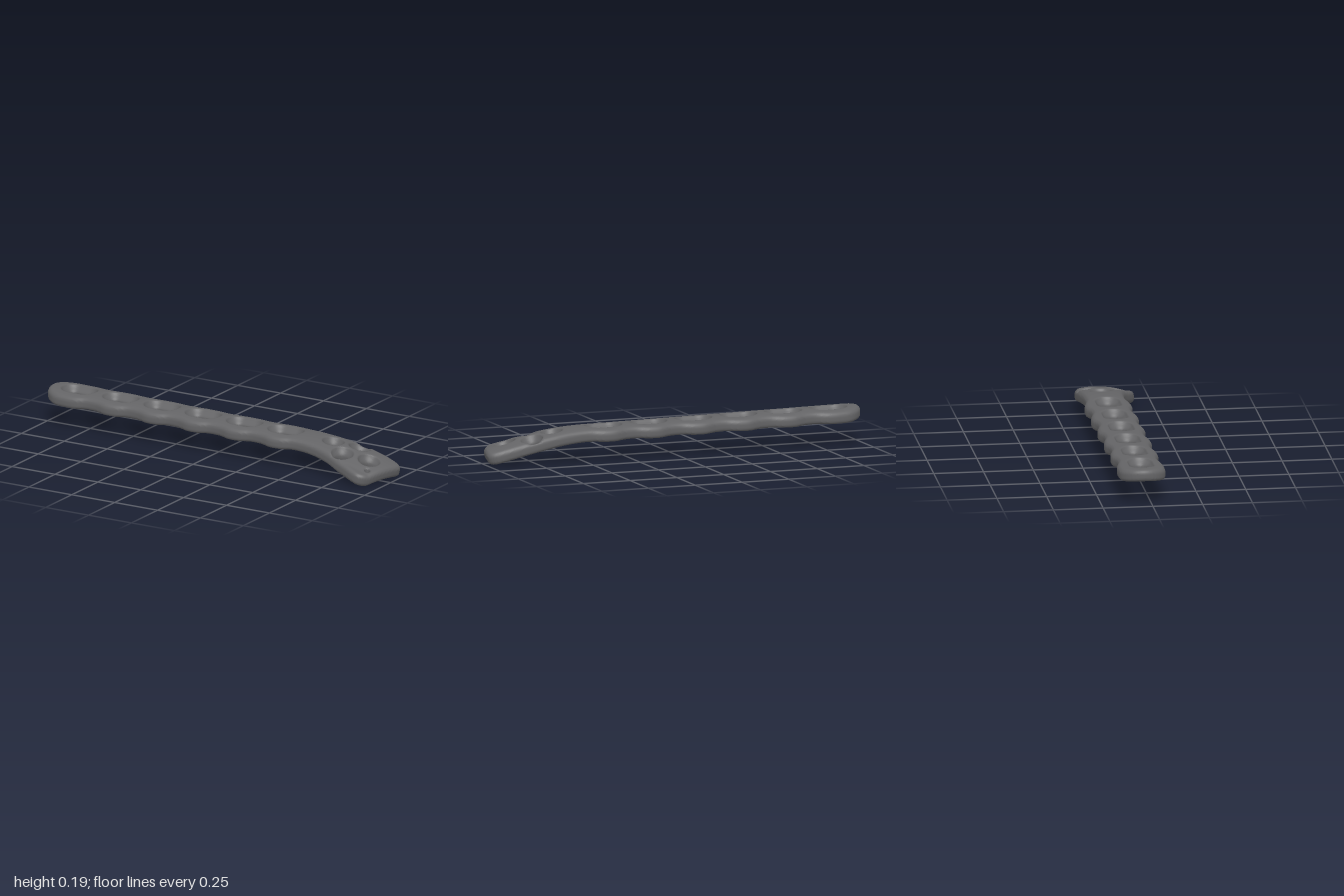
import * as THREE from 'three';

const MID_Z = -0.04, HALF = 0.031, ROUND = 0.022;

// Plan outline (x, z): wavy shaft, rounded tail, flared head
function makeOutline() {
  const front = [], back = [];
  for (let x = -0.86; x < 0.47; x += 0.06) {
    const w = 0.11 + 0.01 * Math.cos((2 * Math.PI * (x + 0.837)) / 0.24);
    front.push([x, MID_Z + w]);
    back.unshift([x, MID_Z - w]);
  }
  const head = [
    [0.58, 0.068], [0.68, 0.09], [0.78, 0.125], [0.86, 0.152], [0.895, 0.157], [0.925, 0.14],
    [0.95, 0.09], [0.975, 0.02], [0.995, -0.06], [0.995, -0.095], [0.97, -0.12], [0.9, -0.138],
    [0.8, -0.148], [0.7, -0.148], [0.56, -0.141],
  ];
  const tail = [[-0.93, -0.148], [-0.982, -0.105], [-1, -0.04], [-0.982, 0.025], [-0.93, 0.068]];
  const pts = [...front, ...head, ...back, ...tail].map(([x, z]) => new THREE.Vector3(x, 0, z));
  return new THREE.CatmullRomCurve3(pts, true).getPoints(220);
}

// Signed distance from a plan point to the outline
function outlineDistance(pts, x, z) {
  let best = Infinity, inside = false;
  for (let i = 0; i < pts.length - 1; i++) {
    const a = pts[i], b = pts[i + 1];
    const ex = b.x - a.x, ez = b.z - a.z, px = x - a.x, pz = z - a.z;
    const t = THREE.MathUtils.clamp((px * ex + pz * ez) / (ex * ex + ez * ez || 1), 0, 1);
    best = Math.min(best, Math.hypot(px - ex * t, pz - ez * t));
    if (a.z > z !== b.z > z && x < a.x + (ex * (z - a.z)) / ez) inside = !inside;
  }
  return inside ? -best : best;
}

// Six slots, four round screw holes and a pin hole
function makeHoles() {
  const holes = [];
  for (let i = 0; i < 6; i++) {
    holes.push({ x: -0.837 + i * 0.2405, z: MID_Z, half: 0.035, r: 0.036, flare: 0.026 });
  }
  for (const [x, z] of [[0.64, -0.04], [0.763, -0.09], [0.74, 0.04], [0.872, 0.005]]) {
    holes.push({ x, z, half: 0, r: 0.035, flare: 0.02 });
  }
  holes.push({ x: 0.91, z: 0.085, half: 0, r: 0.01, flare: 0.004 });
  return holes;
}

const smoothMax = (a, b, k) => {
  const h = Math.max(k - Math.abs(a - b), 0) / k;
  return Math.max(a, b) + h * h * k * 0.25;
};

// Flat plate with rounded edges, cut by holes that are countersunk from above
function plateDistance(edge, holes, x, y, z) {
  const a = edge + ROUND, b = Math.abs(y) - HALF + ROUND;
  let d = Math.hypot(Math.max(a, 0), Math.max(b, 0)) + Math.min(Math.max(a, b), 0) - ROUND;
  const sink = THREE.MathUtils.smoothstep(y, -0.012, HALF);
  for (const h of holes) {
    const dx = Math.max(Math.abs(x - h.x) - h.half, 0);
    const hole = h.r + h.flare * sink - Math.hypot(dx, z - h.z);
    if (hole > -0.05) d = smoothMax(d, hole, 0.006);
  }
  return d;
}

// Curve the flat plate: arched across, sloping along, bent down at the head
function bend(p) {
  const over = Math.max(p.x - 0.45, 0);
  const height = 0.143 - 0.014 * p.x - 0.317 * over * over;
  const slope = -0.014 - 0.634 * over;
  const arch = 0.018 * Math.min(((p.z - MID_Z) / 0.12) ** 2, 1.6);
  return [p.x - slope * p.y * 0.7, height + p.y - arch, p.z];
}

// Skin the plate with one vertex per crossed grid cell
function makePlateGeometry() {
  const outline = makeOutline(), holes = makeHoles();
  const min = [-1.03, -0.046, -0.19], step = [0.0075, 0.0062, 0.0075];
  const n = [276, 16, 52], stride = [1, n[0], n[0] * n[1]];
  const field = new Float32Array(n[0] * n[1] * n[2]);
  const at = (axis, i) => min[axis] + i * step[axis];
  for (let k = 0; k < n[2]; k++) {
    for (let i = 0; i < n[0]; i++) {
      const x = at(0, i), z = at(2, k), edge = outlineDistance(outline, x, z);
      for (let j = 0; j < n[1]; j++) {
        field[i + j * stride[1] + k * stride[2]] = plateDistance(edge, holes, x, at(1, j), z);
      }
    }
  }

  // Vertices: mean of the crossings on the twelve edges of a cell
  const ids = new Int32Array(field.length).fill(-1), positions = [], index = [];
  const p = new THREE.Vector3();
  for (let k = 0; k < n[2] - 1; k++) for (let j = 0; j < n[1] - 1; j++) for (let i = 0; i < n[0] - 1; i++) {
    const base = i + j * stride[1] + k * stride[2], sum = [0, 0, 0];
    let count = 0;
    for (let axis = 0; axis < 3; axis++) {
      const b = (axis + 1) % 3, c = (axis + 2) % 3;
      for (let e = 0; e < 4; e++) {
        const u = e & 1, v = e >> 1, s = base + u * stride[b] + v * stride[c];
        const d0 = field[s], d1 = field[s + stride[axis]];
        if (d0 < 0 === d1 < 0) continue;
        sum[axis] += d0 / (d0 - d1);
        sum[b] += u;
        sum[c] += v;
        count++;
      }
    }
    if (!count) continue;
    p.set(at(0, i + sum[0] / count), at(1, j + sum[1] / count), at(2, k + sum[2] / count));
    ids[base] = positions.length / 3;
    positions.push(...bend(p));
  }

  // Faces: one quad around every crossed grid edge
  for (let k = 1; k < n[2] - 1; k++) for (let j = 1; j < n[1] - 1; j++) for (let i = 1; i < n[0] - 1; i++) {
    const s = i + j * stride[1] + k * stride[2];
    for (let axis = 0; axis < 3; axis++) {
      const inside = field[s] < 0;
      if (inside === field[s + stride[axis]] < 0) continue;
      const b = stride[(axis + 1) % 3], c = stride[(axis + 2) % 3];
      const q = [ids[s], ids[s - b], ids[s - b - c], ids[s - c]];
      if (!inside) q.reverse();
      index.push(q[0], q[1], q[2], q[0], q[2], q[3]);
    }
  }

  const geometry = new THREE.BufferGeometry();
  geometry.setAttribute('position', new THREE.Float32BufferAttribute(positions, 3));
  geometry.setIndex(index);
  geometry.computeVertexNormals();
  geometry.computeBoundingBox();
  const box = geometry.boundingBox;
  geometry.translate(-(box.min.x + box.max.x) / 2, -box.min.y, -(box.min.z + box.max.z) / 2);
  return geometry;
}

export function createModel() {
  const group = new THREE.Group();
  group.name = 'bonePlate';
  const metal = new THREE.MeshStandardMaterial({ color: 0x646466 });
  metal.name = 'dark grey metal';
  const plate = new THREE.Mesh(makePlateGeometry(), metal);
  plate.name = 'perforatedPlate';
  group.add(plate);
  return group;
}
